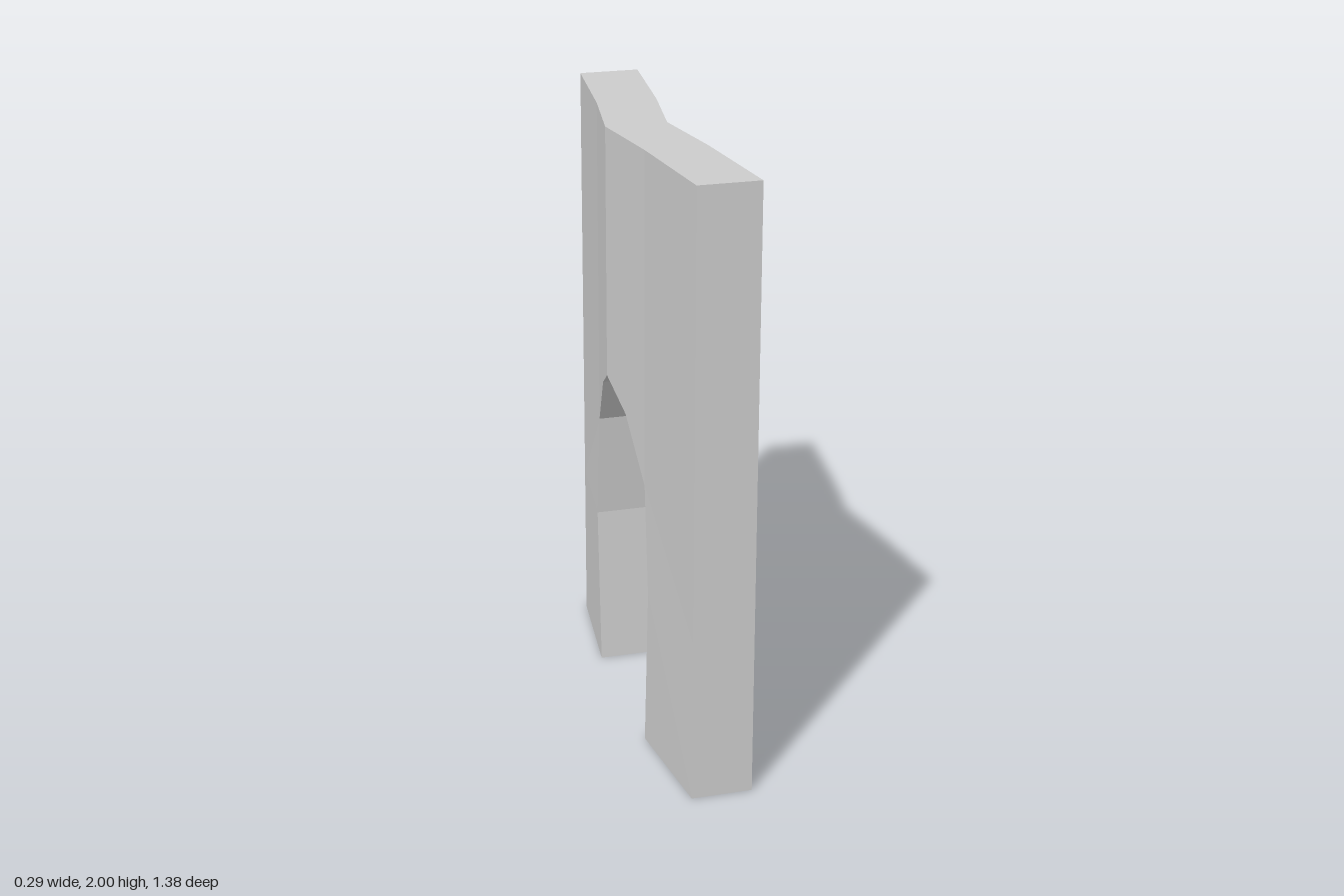
import * as THREE from 'three';

const HALF_THICKNESS = 0.099;

// Points of one half of the wall: [z, y, sideways bend]
const arch = [
  [0.29, 0, 0], [0.33, 0.545, 0], [0.29, 0.91, 0], [0.145, 1.1, -0.023], [0, 1.18, -0.046],
];
const top = [[0, 2, -0.046], [0.145, 2, -0.023], [0.29, 2, 0], [0.69, 2, 0.044]];
const outer = [[0.69, 0.91, 0.044], [0.69, 0.545, 0.044], [0.69, 0, 0.044]];

// Half of the bent wall; side is +1 or -1 along z
function wallHalf(side) {
  const positions = [];
  const at = ([z, y, bend], face) => [bend + face * HALF_THICKNESS, y, z * side];
  const quad = (a, b, c, d) => {
    const corners = side > 0 ? [a, b, c, a, c, d] : [a, c, b, a, d, c];
    corners.forEach((p) => positions.push(...p));
  };

  // Broad faces: leg strips, then panels above the arch
  const panels = [
    [arch[0], arch[1], outer[1], outer[2]],
    [arch[1], arch[2], outer[0], outer[1]],
    [arch[2], top[2], top[3], outer[0]],
    [arch[3], top[1], top[2], arch[2]],
    [arch[4], top[0], top[1], arch[3]],
  ];
  for (const panel of panels) {
    quad(...panel.map((p) => at(p, 1)));
    quad(...panel.map((p) => at(p, -1)).reverse());
  }

  // Rim: arch underside, top, outer end and foot, open at the centre seam
  const rim = [...top, ...outer, ...arch];
  for (let i = 0; i < rim.length - 1; i++) {
    const [a, b] = [rim[i], rim[i + 1]];
    quad(at(a, 1), at(a, -1), at(b, -1), at(b, 1));
  }

  const geometry = new THREE.BufferGeometry();
  geometry.setAttribute('position', new THREE.Float32BufferAttribute(positions, 3));
  geometry.computeVertexNormals();
  return geometry;
}

export function createModel() {
  const group = new THREE.Group();
  group.name = 'archedWall';
  const material = new THREE.MeshStandardMaterial({ color: 0xcccccc, flatShading: true });
  for (const [name, side] of [['frontWallHalf', 1], ['backWallHalf', -1]]) {
    const mesh = new THREE.Mesh(wallHalf(side), material);
    mesh.name = name;
    group.add(mesh);
  }
  return group;
}
